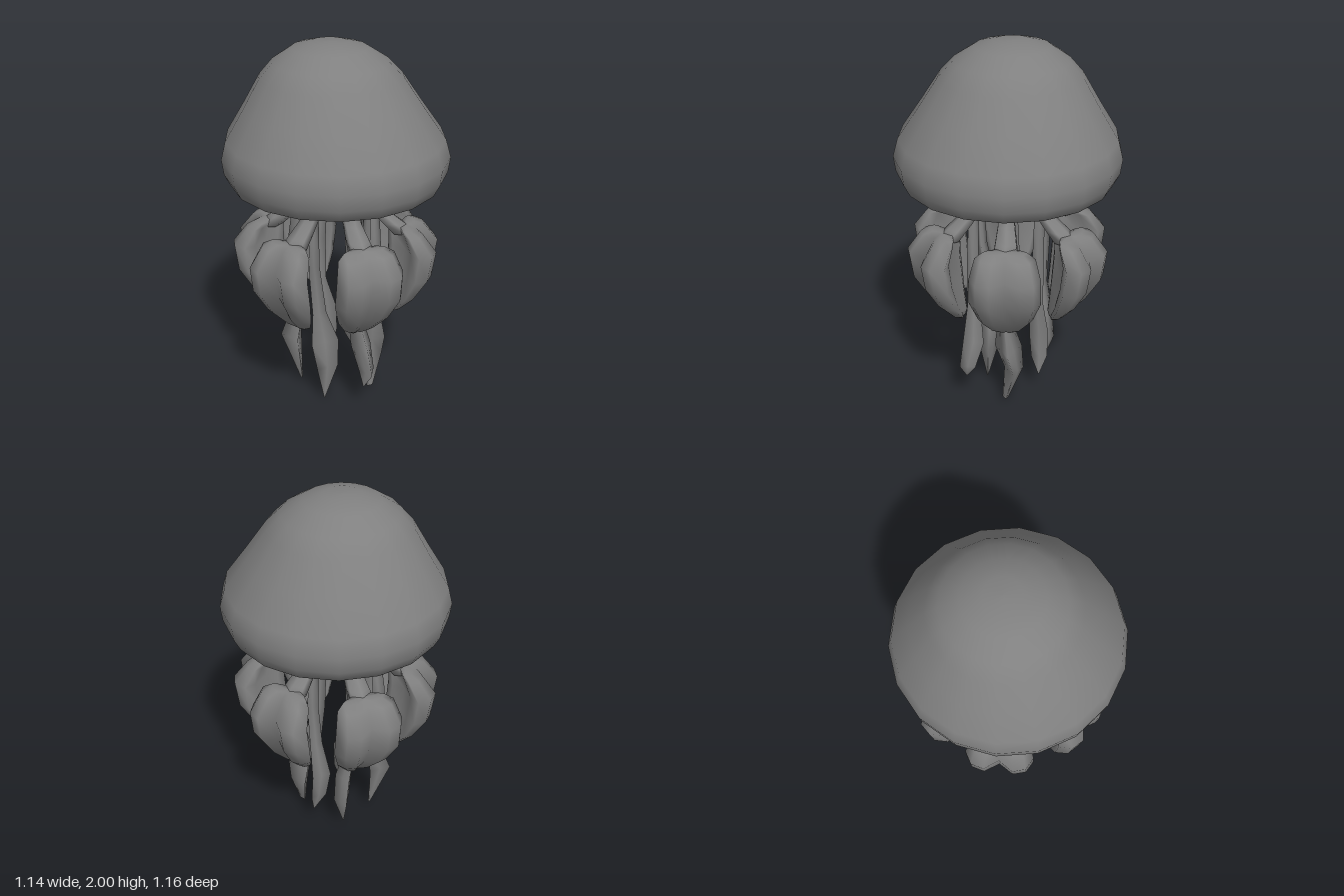
import * as THREE from 'three';

const skin = new THREE.MeshStandardMaterial({ color: 0x808080 });
skin.name = 'grey skin';

// Closed skin over horizontal rings of [x, y, z] points, listed top to bottom
function loft(name, rings) {
  const n = rings[0].length, pos = rings.flat(2), idx = [];
  for (let i = 0; i < rings.length - 1; i++) {
    for (let j = 0; j < n; j++) {
      const a = i * n + j, b = i * n + (j + 1) % n;
      idx.push(a, b, a + n, b, b + n, a + n);
    }
  }
  // end caps
  [0, rings.length - 1].forEach((k, end) => {
    const c = pos.length / 3;
    for (let q = 0; q < 3; q++) pos.push(rings[k].reduce((s, p) => s + p[q], 0) / n);
    for (let j = 0; j < n; j++) {
      const a = k * n + j, b = k * n + (j + 1) % n;
      if (end) idx.push(c, a, b); else idx.push(c, b, a);
    }
  });
  const g = new THREE.BufferGeometry();
  g.setAttribute('position', new THREE.Float32BufferAttribute(pos, 3));
  g.setIndex(idx);
  g.computeVertexNormals();
  const mesh = new THREE.Mesh(g, skin);
  mesh.name = name;
  return mesh;
}

// Ring of alternating radii: inner = 1 gives a polygon, less gives a star
function ring(x, y, z, r, sides, inner = 1, turn = 0) {
  return Array.from({ length: sides }, (_, j) => {
    const a = turn + (j / sides) * Math.PI * 2, q = j % 2 ? r * inner : r;
    return [x + Math.cos(a) * q, y, z + Math.sin(a) * q];
  });
}

// Bell with a hollow underside and a short central funnel
function makeBell() {
  const profile = [
    [0, 1.33], [0.18, 1.32], [0.23, 1.41], [0.36, 1.44], [0.47, 1.36], [0.515, 1.295], [0.54, 1.3],
    [0.57, 1.36], [0.58, 1.44], [0.555, 1.53], [0.455, 1.68], [0.36, 1.83], [0.29, 1.905],
    [0.19, 1.97], [0.09, 1.997], [0, 2.0],
  ].map(p => new THREE.Vector2(...p));
  const g = new THREE.LatheGeometry(profile, 18);
  // the crown leans slightly to one side
  const p = g.attributes.position;
  for (let i = 0; i < p.count; i++) {
    p.setX(i, p.getX(i) - 0.04 * Math.max(0, (p.getY(i) - 1.5) / 0.5));
  }
  const bell = new THREE.Mesh(g, skin);
  bell.name = 'bell';
  return bell;
}

// Three-winged lobe section: [radial, lateral], grooved on the outer side
const half = [[0.6, 0], [1, 0.42], [0.85, 0.8], [0.35, 1], [0.0, 0.75], [-0.3, 0.3], [-0.8, 0.24], [-1, 0]];
const section = [...half, ...half.slice(1, -1).reverse().map(([v, u]) => [v, -u])];

// Lobe slices: height, half width, inner radius, outer radius
const lobeSlices = [
  [1.055, 0.11, 0.30, 0.41], [1.035, 0.15, 0.28, 0.46], [0.94, 0.178, 0.28, 0.535], [0.8, 0.18, 0.27, 0.515],
  [0.67, 0.14, 0.26, 0.44], [0.58, 0.085, 0.25, 0.36], [0.54, 0.035, 0.26, 0.31],
];

// Arm slices: height, distance from the axis, thickness
const armSlices = [[1.4, 0.165, 0.055], [1.29, 0.165, 0.045], [1.2, 0.168, 0.042], [1.13, 0.22, 0.048], [1.07, 0.29, 0.06], [1.02, 0.35, 0.07]];

// Tentacle paths, one below each arm: [x, y, z, radius]
const tentacles = [
  [[0.17, 1.15, 0.1, 0.03], [0.19, 0.85, 0.1, 0.035], [0.2, 0.6, 0.09, 0.04], [0.24, 0.4, 0.07, 0.065], [0.285, 0.26, 0.08, 0.05], [0.27, 0.17, 0.1, 0.004]],
  [[0, 1.15, 0.19, 0.03], [-0.01, 0.85, 0.18, 0.035], [-0.02, 0.55, 0.13, 0.045], [0, 0.38, 0.12, 0.09], [0.02, 0.22, 0.12, 0.07], [0.02, 0, 0.13, 0.004]],
  [[-0.17, 1.15, 0.1, 0.03], [-0.2, 0.9, 0.1, 0.04], [-0.21, 0.68, 0.09, 0.035], [-0.18, 0.48, 0.1, 0.05], [-0.2, 0.33, 0.13, 0.07], [-0.16, 0.05, 0.11, 0.008]],
  [[-0.17, 1.15, -0.1, 0.03], [-0.2, 0.85, -0.1, 0.04], [-0.19, 0.6, -0.1, 0.035], [-0.17, 0.42, -0.13, 0.055], [-0.17, 0.25, -0.15, 0.05], [-0.15, 0.07, -0.12, 0.006]],
  [[0, 1.15, -0.19, 0.03], [0.01, 0.85, -0.19, 0.035], [0, 0.6, -0.18, 0.04], [-0.03, 0.4, -0.18, 0.06], [-0.02, 0.25, -0.19, 0.05], [0, 0.13, -0.2, 0.004]],
  [[0.17, 1.15, -0.1, 0.03], [0.18, 0.85, -0.1, 0.04], [0.18, 0.55, -0.09, 0.04], [0.16, 0.35, -0.1, 0.085], [0.15, 0.22, -0.13, 0.06], [0.17, 0.03, -0.09, 0.02]],
];

export function createModel() {
  const model = new THREE.Group();
  model.name = 'jellyfish';
  model.add(makeBell());

  tentacles.forEach((path, i) => {
    const angle = Math.PI / 6 + (i * Math.PI) / 3;

    // arm and its frilled lobe, built pointing along +x and then turned
    const limb = new THREE.Group();
    limb.name = 'oralArm';
    limb.add(loft('armStalk', armSlices.map(([y, r, t]) => ring(r, y, 0, t, 6))));
    limb.add(loft('armLobe', lobeSlices.map(([y, w, r0, r1]) =>
      section.map(([v, u]) => [(r0 + r1) / 2 + (v * (r1 - r0)) / 2, y, u * w]))));
    limb.rotation.y = -angle;
    model.add(limb);

    // thin three-winged tentacle ending in a pointed club
    model.add(loft('tentacle', path.map(([x, y, z, r]) => ring(x, y, z, r, 6, 0.45, angle))));
  });
  return model;
}
